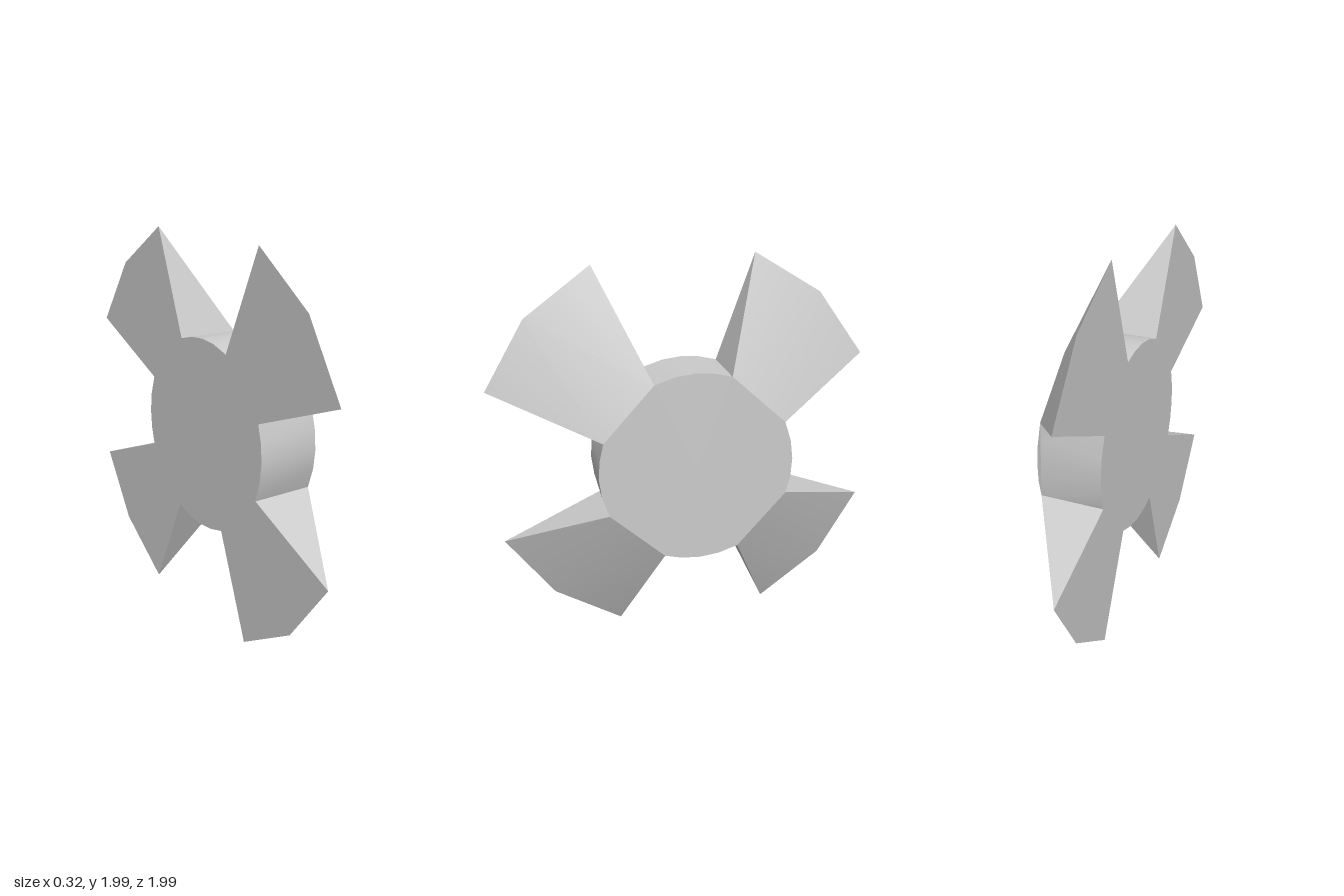
import * as THREE from 'three';
import { toCreasedNormals } from 'three/addons/utils/BufferGeometryUtils.js';

const FRONT = 0.16, BACK = -0.165, CENTRE_Y = 1.003;

// One quarter of the outline as [z, y] about the hub axis
const RIM = [[0.212, 0.445], [0.11, 0.478], [0.015, 0.49], [-0.08, 0.484], [-0.17, 0.462]];
const TIP = [[-0.365, 0.997], [-0.717, 0.787], [-0.963, 0.453]];

// Quarter turn about the x axis, k times
function turn([z, y], k) {
  for (let i = 0; i < k; i++) [z, y] = [-y, z];
  return [z, y];
}

const at = (x, [z, y]) => new THREE.Vector3(x, y + CENTRE_Y, z);

function meshFrom(name, corners, material) {
  const geometry = new THREE.BufferGeometry().setFromPoints(corners);
  const mesh = new THREE.Mesh(toCreasedNormals(geometry, 0.6), material);
  mesh.name = name;
  return mesh;
}

// Triangle fan about the axis; the outline runs clockwise seen from +x
function disc(x, outline) {
  const corners = [];
  outline.forEach((p, i) => {
    const q = outline[(i + 1) % outline.length];
    const pair = x > 0 ? [q, p] : [p, q];
    corners.push(at(x, [0, 0]), at(x, pair[0]), at(x, pair[1]));
  });
  return corners;
}

export function createModel() {
  const group = new THREE.Group();
  const material = new THREE.MeshStandardMaterial({ color: 0xcccccc, side: THREE.DoubleSide });
  const faceOutline = [], backOutline = [];

  for (let k = 0; k < 4; k++) {
    const rim = RIM.map(p => turn(p, k));
    const tip = TIP.map(p => turn(p, k));
    const start = rim[0], end = rim[4];
    const next = turn(RIM[0], k + 1);

    // The rear gap has a straight front edge with a thin lip beyond it
    const straight = k === 1;
    const frontRim = rim.map((p, i) => straight
      ? [0, 1].map(c => start[c] + (end[c] - start[c]) * i / 4) : p);
    faceOutline.push(...frontRim);
    backOutline.push(...rim, ...tip);

    // Curved hub wall between two blades
    const wall = [], lip = [];
    for (let i = 0; i < 4; i++) {
      const a = at(FRONT, frontRim[i]), b = at(FRONT, frontRim[i + 1]);
      const c = at(BACK, rim[i]), d = at(BACK, rim[i + 1]);
      wall.push(a, b, c, b, d, c);
      if (i > 0) lip.push(at(FRONT, start), at(FRONT, rim[i + 1]), at(FRONT, rim[i]));
    }
    group.add(meshFrom('hubWall', wall, material));
    if (straight) group.add(meshFrom('rimLip', lip, material));

    // Blade: sloping front fan and two triangular sides
    const a = at(FRONT, end), b = at(FRONT, next);
    const [t0, t1, t2] = tip.map(p => at(BACK, p));
    group.add(meshFrom('blade', [
      a, t1, t0, a, b, t1, b, t2, t1,
      a, t0, at(BACK, end),
      b, at(BACK, next), t2,
    ], material));
  }

  group.add(meshFrom('hubFace', disc(FRONT, faceOutline), material));
  group.add(meshFrom('backPlate', disc(BACK, backOutline), material));
  return group;
}
